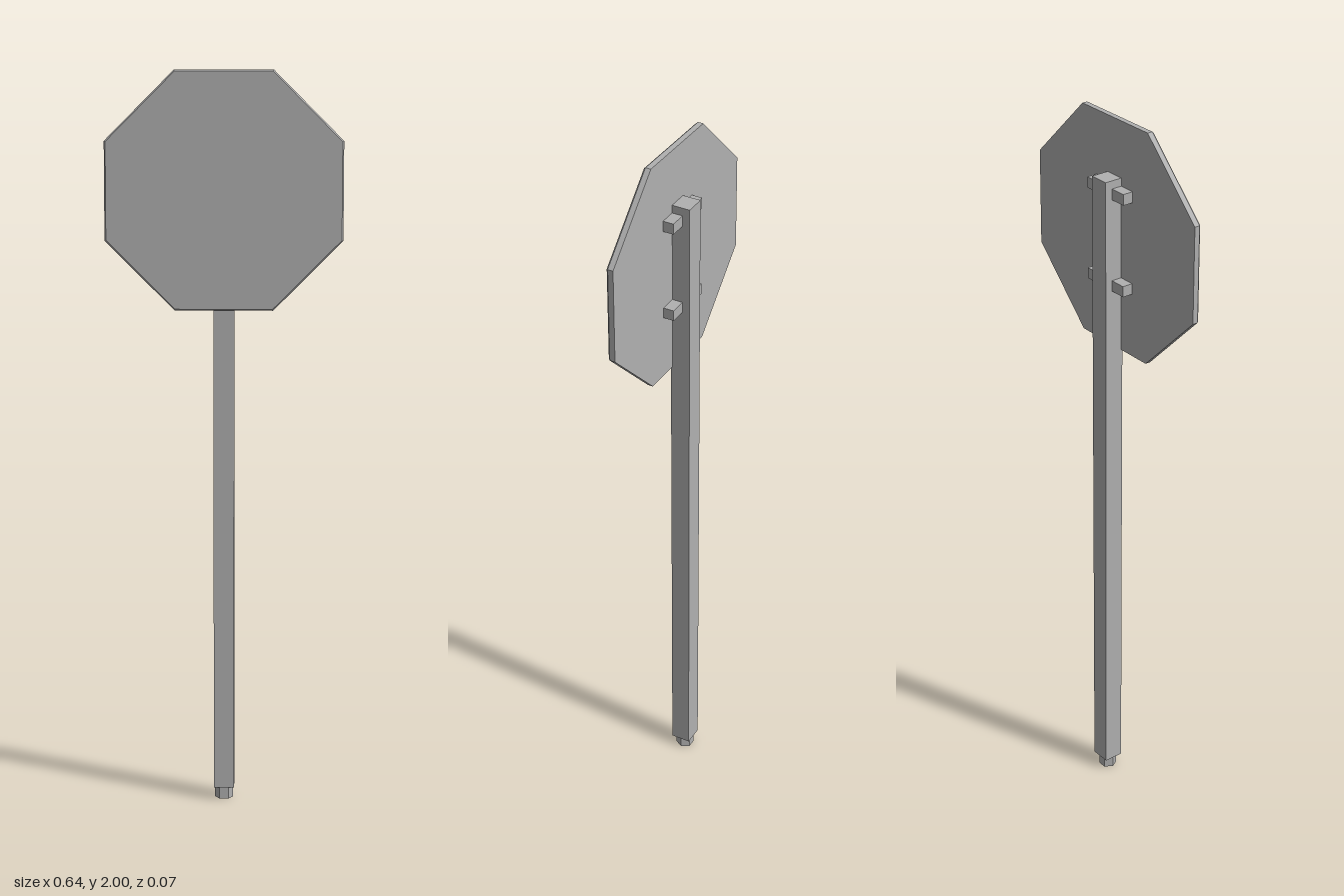
import * as THREE from 'three';

export function createModel() {
  const group = new THREE.Group();
  const grey = new THREE.MeshStandardMaterial({ color: 0xb0b0b0, flatShading: true });
  grey.name = 'plain grey';

  const add = (name, geometry, x, y, z) => {
    const mesh = new THREE.Mesh(geometry, grey);
    mesh.name = name;
    mesh.position.set(x, y, z);
    group.add(mesh);
    return mesh;
  };

  // Octagonal plate with a small bevel around its front edge
  const apothem = 0.319;
  const toCorner = 1 / Math.cos(Math.PI / 8);
  const profile = [
    [0, 0],
    [apothem * toCorner, 0],
    [apothem * toCorner, 0.015],
    [(apothem - 0.004) * toCorner, 0.02],
    [0, 0.02],
  ].map(([r, h]) => new THREE.Vector2(r, h));
  const plate = new THREE.LatheGeometry(profile, 8, Math.PI / 8);
  plate.rotateX(Math.PI / 2);
  add('signPlate', plate, 0, 2 - apothem, 0.0145);

  // Square post
  const postBottom = 0.034, postTop = 1.847, postZ = -0.008;
  add('post', new THREE.BoxGeometry(0.056, postTop - postBottom, 0.055),
    0, (postBottom + postTop) / 2, postZ);

  // Hexagonal foot peg, corners pointing sideways
  const peg = new THREE.CylinderGeometry(0.025, 0.025, 0.036, 6);
  peg.rotateY(Math.PI / 6);
  add('footPeg', peg, 0, 0.018, postZ);

  // Bracket blocks on both sides of the post, behind the plate
  for (const y of [1.555, 1.81]) {
    for (const side of [-1, 1]) {
      add(side > 0 ? 'leftBracket' : 'rightBracket',
        new THREE.BoxGeometry(0.048, 0.03, 0.03), side * 0.05, y, 0);
    }
  }
  return group;
}
